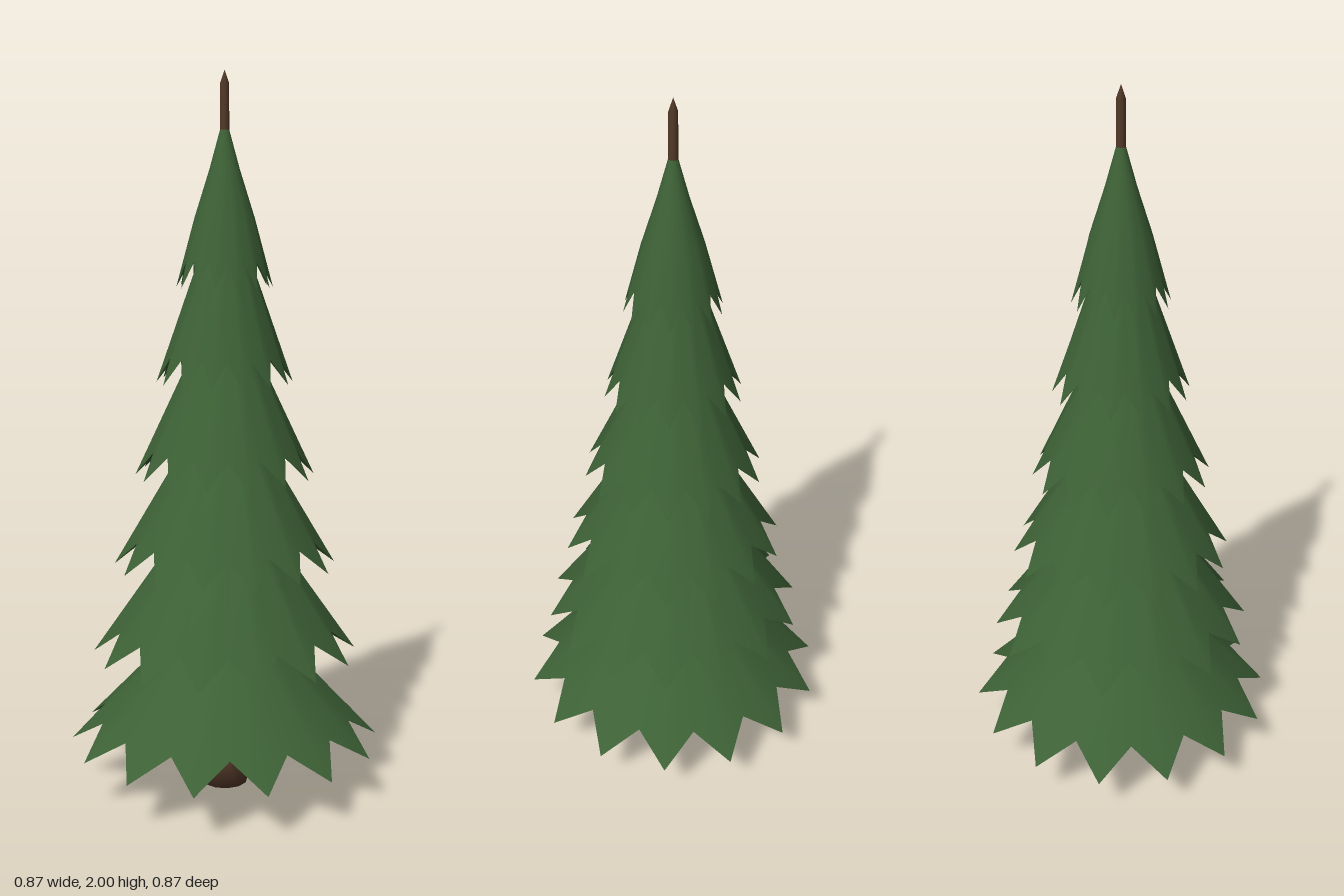
import * as THREE from 'three';

const SPIKES = 14;
const SEG = SPIKES * 2;
const PHASE = THREE.MathUtils.degToRad(5);

// Surface from [tipRadius, tipY, valleyRadius, valleyY] rings, listed bottom to top.
function ringSurface(rings) {
  const pos = [], index = [];
  for (const [tipR, tipY, valR, valY] of rings) {
    for (let i = 0; i < SEG; i++) {
      const a = PHASE + (i / SEG) * Math.PI * 2;
      const r = i % 2 ? valR : tipR;
      pos.push(Math.cos(a) * r, i % 2 ? valY : tipY, Math.sin(a) * r);
    }
  }
  for (let k = 0; k < rings.length - 1; k++) {
    for (let i = 0; i < SEG; i++) {
      const a = k * SEG + i, b = k * SEG + (i + 1) % SEG;
      index.push(a, a + SEG, b, b, a + SEG, b + SEG);
    }
  }
  const geo = new THREE.BufferGeometry();
  geo.setAttribute('position', new THREE.Float32BufferAttribute(pos, 3));
  geo.setIndex(index);
  geo.computeVertexNormals();
  return geo;
}

const round = (r, y) => [r, y, r, y];

export function createModel() {
  const tree = new THREE.Group();
  tree.name = 'firTree';
  const needles = new THREE.MeshStandardMaterial({ color: 0x3d6136, side: THREE.DoubleSide });
  const bark = new THREE.MeshStandardMaterial({ color: 0x523828 });

  // Trunk with flared foot, running up to a pointed leader
  const profile = [[0, 0], [0.066, 0], [0.052, 0.07], [0.045, 0.15], [0.04, 0.4],
    [0.022, 1.3], [0.013, 1.8], [0.012, 1.965], [0, 2]];
  const trunk = new THREE.Mesh(
    new THREE.LatheGeometry(profile.map(([x, y]) => new THREE.Vector2(x, y)), 12), bark);
  trunk.name = 'trunk';
  tree.add(trunk);

  // Branch tiers: tip radius, tip height, shoulder radius, shoulder height, top height
  const tiers = [
    [0.437, 0.135, 0.19, 0.39, 0.57],
    [0.372, 0.395, 0.165, 0.69, 0.88],
    [0.31, 0.65, 0.145, 0.93, 1.14],
    [0.249, 0.905, 0.12, 1.18, 1.41],
    [0.188, 1.165, 0.092, 1.44, 1.68],
    [0.132, 1.425, 0.082, 1.61, 1.86],
  ];
  tiers.forEach(([r, y, shoulderR, shoulderY, topY], n) => {
    const tier = new THREE.Group();
    tier.name = `branchTier${n + 1}`;
    const valR = r * 0.815, valY = y + 0.07;
    const rim = [r, y, valR, valY];

    // Smooth skirt with a sawtooth hem
    const skirt = new THREE.Mesh(ringSurface([
      rim,
      round(shoulderR, shoulderY),
      round(shoulderR * 0.5, (shoulderY + topY) / 2 + 0.005),
      round(0.008, topY),
    ]), needles);
    skirt.name = 'skirt';

    // Shallow hollow underside, facing down
    const underside = new THREE.Mesh(ringSurface([
      round(0.01, y + 0.18),
      round(valR * 0.6, y + 0.125),
      rim,
    ]), needles);
    underside.name = 'underside';

    tier.add(skirt, underside);
    tree.add(tier);
  });

  return tree;
}
